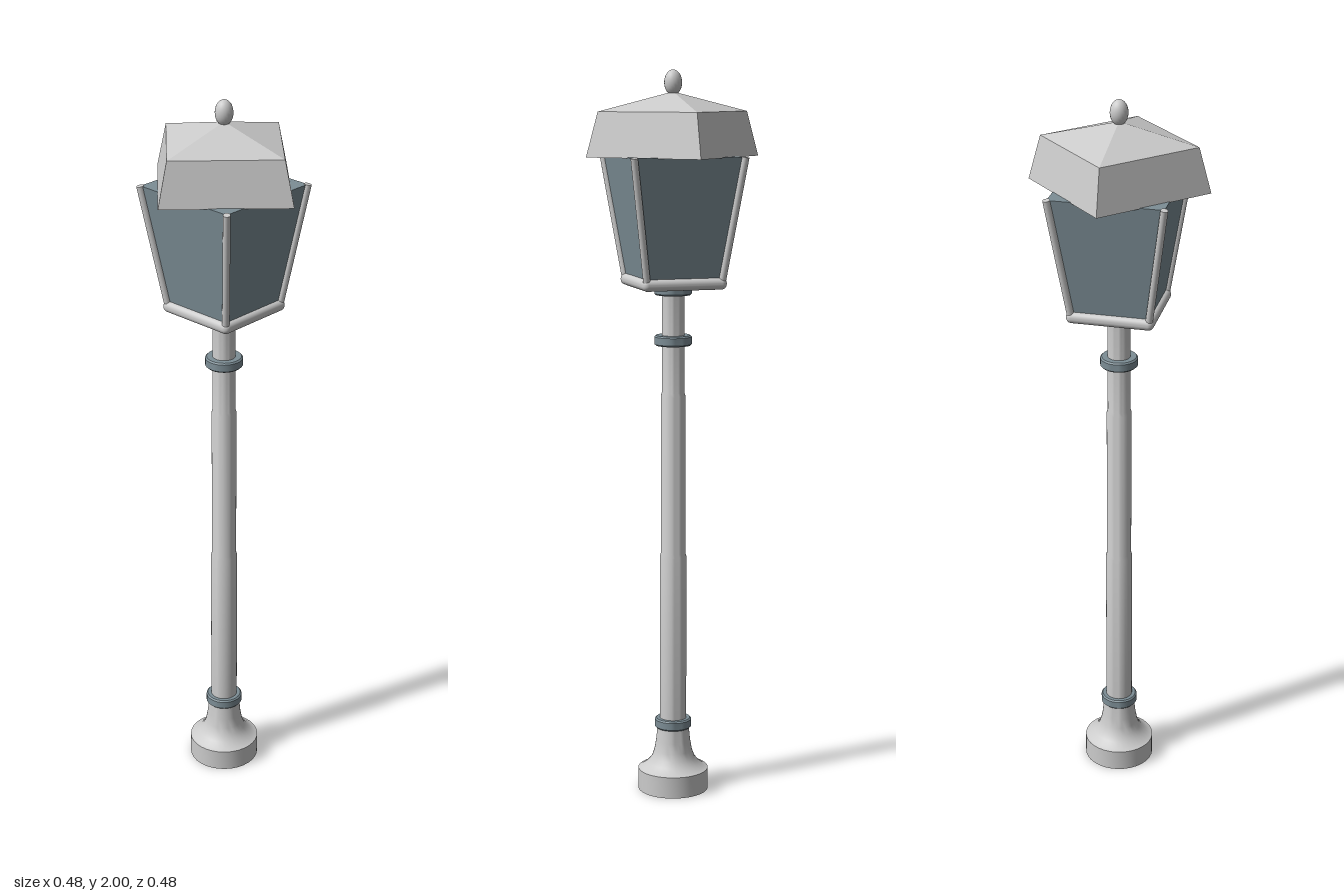
import * as THREE from 'three';
import { toCreasedNormals } from 'three/addons/utils/BufferGeometryUtils.js';
import { RoundedBoxGeometry } from 'three/addons/geometries/RoundedBoxGeometry.js';

export function createModel() {
  const model = new THREE.Group();
  const metal = new THREE.MeshStandardMaterial({ color: 0xcccccc });
  const facet = new THREE.MeshStandardMaterial({ color: 0xcccccc, flatShading: true });
  const slate = new THREE.MeshStandardMaterial({ color: 0x7d8e96 });
  const glass = new THREE.MeshStandardMaterial({ color: 0x7d8e96, flatShading: true });

  const add = (name, geometry, material, y = 0) => {
    const mesh = new THREE.Mesh(geometry, material);
    mesh.name = name;
    mesh.position.y = y;
    model.add(mesh);
    return mesh;
  };
  const lathe = (points) => toCreasedNormals(
    new THREE.LatheGeometry(points.map(([r, y]) => new THREE.Vector2(r, y)), 32), 0.6);

  // Round foot flaring up into the pole
  add('foot', lathe([
    [0, 0], [0.098, 0], [0.098, 0.06], [0.088, 0.064], [0.072, 0.077], [0.06, 0.092],
    [0.053, 0.112], [0.048, 0.14], [0.043, 0.19], [0, 0.19],
  ]), metal);

  // Pole, stepping slimmer towards the top
  add('pole', lathe([
    [0, 0.18], [0.037, 0.18], [0.037, 0.67], [0.034, 0.68], [0.034, 1.12],
    [0.031, 1.13], [0.031, 1.43], [0, 1.43],
  ]), metal);

  // Collars with softened rims
  for (const [name, y, h] of [['lowerCollar', 0.178, 0.028], ['upperCollar', 1.26, 0.028], ['lanternCollar', 1.398, 0.026]]) {
    add(name, lathe([
      [0, 0], [0.047, 0], [0.051, 0.004], [0.051, h - 0.004], [0.047, h], [0, h],
    ]), slate, y);
  }

  // Lantern: floor plate and tapered glass box
  add('lanternFloor', new RoundedBoxGeometry(0.236, 0.032, 0.236, 4, 0.015), metal, 1.435);
  const bottom = 0.105, top = 0.153, y0 = 1.445, y1 = 1.772;
  const box = new THREE.CylinderGeometry(top * Math.SQRT2, bottom * Math.SQRT2, y1 - y0, 4);
  box.rotateY(Math.PI / 4);
  add('lanternGlass', box, glass, (y0 + y1) / 2);

  // Round bars along the four glass corners
  for (const sx of [-1, 1]) for (const sz of [-1, 1]) {
    const a = new THREE.Vector3(sx * bottom, y0 - 0.005, sz * bottom);
    const b = new THREE.Vector3(sx * top, y1, sz * top);
    const dir = b.clone().sub(a);
    const bar = add('cornerBar', new THREE.CylinderGeometry(0.01, 0.01, dir.length(), 12), metal);
    bar.position.copy(a).add(b).multiplyScalar(0.5);
    bar.quaternion.setFromUnitVectors(new THREE.Vector3(0, 1, 0), dir.normalize());
  }

  // Four-sided roof, its corners turned to the axes
  add('roofSkirt', new THREE.CylinderGeometry(0.209, 0.242, 0.12, 4), facet, 1.83);
  add('roofPeak', new THREE.ConeGeometry(0.209, 0.052, 4, 1, true), facet, 1.916);

  // Egg-shaped finial
  const finial = add('finial', new THREE.SphereGeometry(0.024, 20, 14), metal, 1.966);
  finial.scale.y = 0.034 / 0.024;

  return model;
}
